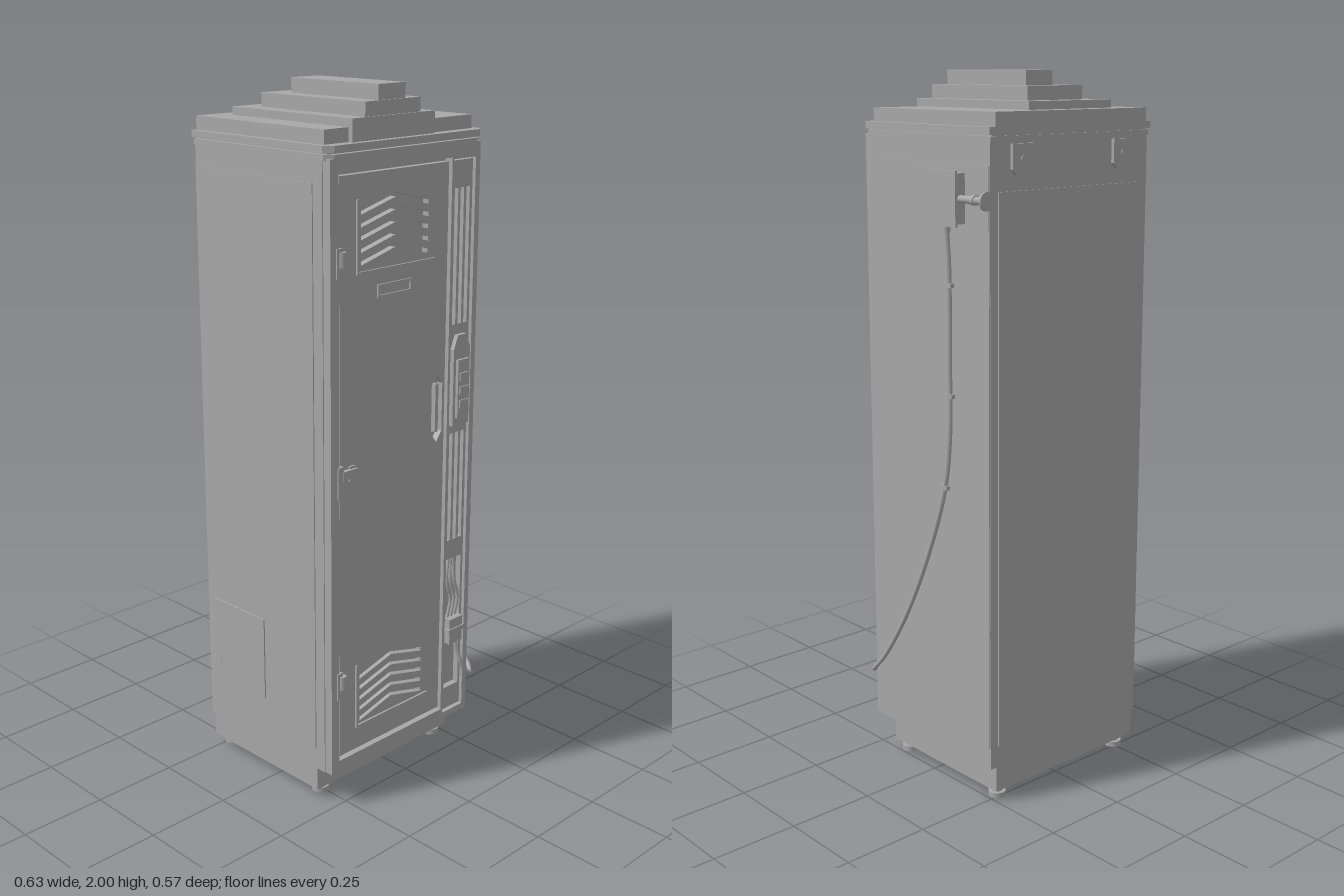
import * as THREE from 'three';

const paint = new THREE.MeshStandardMaterial({ color: 0xa8a8a8 });
paint.name = 'grey paint';

export function createModel() {
  const root = new THREE.Group();
  root.name = 'cabinet';

  const add = (name, geo) => {
    const m = new THREE.Mesh(geo, paint);
    m.name = name;
    root.add(m);
    return m;
  };
  // box given by its limits on each axis
  const box = (name, x0, x1, y0, y1, z0, z1) => {
    const m = add(name, new THREE.BoxGeometry(x1 - x0, y1 - y0, z1 - z0));
    m.position.set((x0 + x1) / 2, (y0 + y1) / 2, (z0 + z1) / 2);
    return m;
  };
  const cyl = (name, r, h, x, y, z, axis = 'y', sides = 16) => {
    const g = new THREE.CylinderGeometry(r, r, h, sides);
    if (axis === 'x') g.rotateZ(Math.PI / 2);
    if (axis === 'z') g.rotateX(Math.PI / 2);
    const m = add(name, g);
    m.position.set(x, y, z);
    return m;
  };
  const poly = (pts) => pts.map(([x, y]) => new THREE.Vector2(x, y));
  const rect = (x0, x1, y0, y1) => [[x0, y0], [x1, y0], [x1, y1], [x0, y1]];
  // upright plate with cut-outs, from z0 to z1
  const plate = (name, outline, holes, z0, z1) => {
    const s = new THREE.Shape(poly(outline));
    holes.forEach((h) => s.holes.push(new THREE.Path(poly(h))));
    const g = new THREE.ExtrudeGeometry(s, { depth: z1 - z0, bevelEnabled: false });
    g.translate(0, 0, z0);
    return add(name, g);
  };
  // slab with chamfered front corners, from y0 to y1
  const slab = (name, x0, x1, z0, z1, c, y0, y1) => {
    const s = new THREE.Shape(poly([[x0, -z1 + c], [x0 + c, -z1], [x1 - c, -z1], [x1, -z1 + c], [x1, -z0], [x0, -z0]]));
    const g = new THREE.ExtrudeGeometry(s, { depth: y1 - y0, bevelEnabled: false });
    g.rotateX(-Math.PI / 2);
    g.translate(0, y0, 0);
    return add(name, g);
  };
  const tube = (name, pts, r, n = 40) => add(name, new THREE.TubeGeometry(
    new THREE.CatmullRomCurve3(pts.map((p) => new THREE.Vector3(...p))), n, r, 8));

  // Feet and plinth
  for (const x of [-0.255, 0.22]) for (const z of [-0.24, 0.15]) {
    cyl('foot', 0.025, 0.016, x, 0.008, z);
    cyl('footStem', 0.015, 0.02, x, 0.024, z);
  }
  box('plinth', -0.3, 0.25, 0.03, 0.107, -0.27, 0.185);

  // Body shell with shallow side and back panels
  box('body', -0.308, 0.272, 0.106, 1.83, -0.272, 0.224);
  box('rightSidePanel', 0.27, 0.275, 0.17, 1.767, -0.27, 0.19);
  box('leftSidePanel', -0.311, -0.306, 0.17, 1.767, -0.27, 0.19);
  box('backPanel', -0.28, 0.245, 0.17, 1.7, -0.275, -0.27);
  box('accessPanel', -0.315, -0.308, 0.25, 0.5, -0.24, -0.02);
  cyl('accessLock', 0.008, 0.004, -0.315, 0.31, -0.22, 'x');

  // Front frame around the door and the service column
  plate('frontFrame', rect(-0.305, 0.266, 0.106, 1.83),
    [rect(-0.275, 0.152, 0.14, 1.795), rect(0.16, 0.248, 0.125, 1.79)], 0.22, 0.25);

  // Door with chevron vents and a handle recess
  const chevrons = (top) => Array.from({ length: 5 }, (_, i) => {
    const y = top - i * 0.033;
    return [[-0.19, y - 0.045], [-0.062, y - 0.012], [0.065, y - 0.045],
      [0.065, y - 0.033], [-0.062, y], [-0.19, y - 0.033]];
  });
  const hexagon = (x, y, w, h, c) => [[x - w, y - h + c], [x, y - h], [x + w, y - h + c],
    [x + w, y + h - c], [x, y + h], [x - w, y + h - c]];
  plate('door', rect(-0.268, 0.145, 0.15, 1.785),
    [...chevrons(1.725), ...chevrons(0.41), hexagon(0.114, 1.1, 0.022, 0.1, 0.03)], 0.223, 0.244);
  box('handleGrip', 0.108, 0.12, 1.03, 1.17, 0.222, 0.244);
  for (const y of [1.53, 0.222]) {
    box('ventSideTrim', -0.208, -0.202, y, y + 0.19, 0.243, 0.25);
    box('ventBottomTrim', -0.208, 0.09, y - 0.004, y + 0.003, 0.243, 0.25);
  }
  plate('nameHolder', rect(-0.13, 0.0, 1.455, 1.49), [rect(-0.124, -0.006, 1.461, 1.5 - 0.016)], 0.243, 0.249);

  // Hinges and latch on the door's left edge
  for (const y of [1.565, 0.375]) {
    box('hingeLeaf', -0.285, -0.265, y - 0.04, y + 0.04, 0.24, 0.254);
    cyl('hingeKnuckle', 0.012, 0.04, -0.266, y + 0.01, 0.252, 'y', 12);
  }
  box('latchPlate', -0.282, -0.262, 0.93, 1.02, 0.24, 0.255);
  box('latchArm', -0.265, -0.212, 0.98, 1.005, 0.24, 0.257);
  box('latchTab', -0.235, -0.214, 0.97, 1.012, 0.24, 0.25);

  // Service column: slotted cover, with an open socket bay near the bottom
  const slots = [];
  for (const [y0, y1] of [[1.33, 1.71], [0.68, 1.01]])
    for (const x of [0.18, 0.204, 0.228]) slots.push(rect(x - 0.007, x + 0.007, y0, y1));
  plate('columnCover', rect(0.163, 0.245, 0.13, 1.785),
    [...slots, rect(0.172, 0.236, 0.2, 0.62)], 0.223, 0.242);
  plate('controlPlate', [[0.17, 1.035], [0.238, 1.035], [0.238, 1.26], [0.222, 1.3], [0.186, 1.3], [0.17, 1.26]],
    [], 0.242, 0.255);
  box('controlModule', 0.18, 0.228, 1.06, 1.23, 0.25, 0.264);
  for (const y of [1.09, 1.13, 1.17]) box('controlKey', 0.186, 0.222, y, y + 0.022, 0.262, 0.268);
  box('socket', 0.176, 0.232, 0.35, 0.43, 0.222, 0.258);
  box('socketCap', 0.17, 0.238, 0.385, 0.4, 0.24, 0.262);
  [0.188, 0.204, 0.22].forEach((x, i) => tube('bayWire',
    [[x, 0.43, 0.236], [x + 0.008, 0.49, 0.24], [x - 0.008, 0.55, 0.238], [x + (1 - i) * 0.006, 0.62, 0.23]], 0.005, 20));

  // Lid in two layers, with stepped blocks on top
  slab('lidLower', -0.31, 0.272, -0.274, 0.25, 0.02, 1.825, 1.84);
  slab('lidUpper', -0.316, 0.278, -0.277, 0.255, 0.022, 1.844, 1.863);
  box('lidSeam', -0.3, 0.262, 1.838, 1.846, -0.27, 0.235);
  [[-0.298, 0.258, 1.9, -0.277, 0.222], [-0.213, 0.094, 1.922, -0.225, 0.236],
    [-0.163, 0.042, 1.96, -0.163, 0.231], [-0.11, -0.01, 2.0, -0.101, 0.226]]
    .forEach(([x0, x1, y1, z0, z1], i) => box('roofStep' + (i + 1), x0, x1, 1.86, y1, z0, z1));

  // Mounting tabs on the back
  for (const x of [-0.204, 0.167]) {
    const s = new THREE.Shape(poly([[x - 0.036, 1.82], [x - 0.036, 1.755], [x - 0.022, 1.74],
      [x + 0.022, 1.74], [x + 0.036, 1.755], [x + 0.036, 1.82]]));
    const g = new THREE.ExtrudeGeometry(s, { depth: 0.012, bevelEnabled: false });
    g.translate(0, 0, -0.282);
    add('mountingTab', g);
    cyl('tabBolt', 0.008, 0.004, x, 1.782, -0.283, 'z');
  }

  // Junction box with its conduit to the back
  box('junctionBox', 0.27, 0.308, 1.615, 1.745, -0.178, -0.066);
  box('junctionCover', 0.306, 0.313, 1.608, 1.752, -0.184, -0.06);
  cyl('conduit', 0.01, 0.1, 0.291, 1.68, -0.226, 'z');
  cyl('conduitCollar', 0.013, 0.014, 0.291, 1.68, -0.232, 'z');
  cyl('conduitFlange', 0.025, 0.006, 0.289, 1.68, -0.279, 'z', 24);
  cyl('cableGland', 0.011, 0.03, 0.288, 1.605, -0.118);

  // Cable down the side, looping round to the socket bay
  tube('cable', [[0.288, 1.61, -0.118], [0.281, 1.5, -0.118], [0.281, 1.25, -0.118], [0.281, 1.05, -0.117],
    [0.281, 0.89, -0.095], [0.281, 0.68, -0.02], [0.281, 0.466, 0.085], [0.281, 0.307, 0.19],
    [0.277, 0.245, 0.25], [0.252, 0.235, 0.273], [0.228, 0.265, 0.268], [0.214, 0.32, 0.256], [0.208, 0.37, 0.245]], 0.007, 120);
  for (const [y, z] of [[1.45, -0.118], [1.15, -0.118], [0.89, -0.095]])
    box('cableClip', 0.27, 0.287, y - 0.006, y + 0.006, z - 0.014, z + 0.014);

  return root;
}
